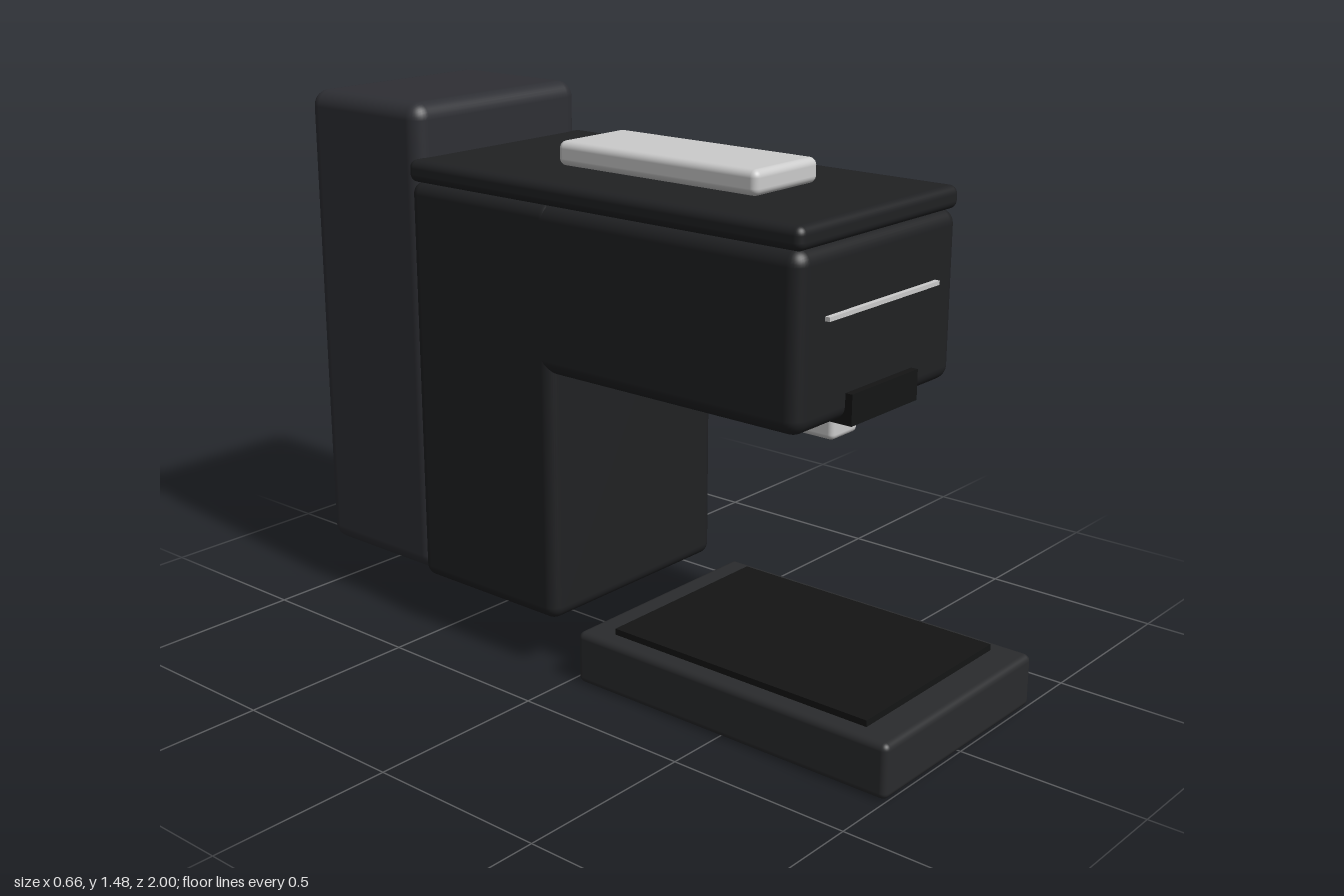
import * as THREE from 'three';
import { RoundedBoxGeometry } from 'three/addons/geometries/RoundedBoxGeometry.js';

const material = (color) => new THREE.MeshStandardMaterial({ color });

export function createModel() {
  const model = new THREE.Group();
  model.name = 'coffeeMachine';

  const black = material(0x202123);
  const charcoal = material(0x2e2f34);
  const trayGrey = material(0x2a2b2d);
  const dark = material(0x141515);
  const silver = material(0xc0c1c4);

  // Box centred on x, given by its half width and its y and z extents; radius 0 keeps sharp edges
  function box(name, mat, halfWidth, [y0, y1], [z0, z1], radius = 0) {
    const size = [halfWidth * 2, y1 - y0, z1 - z0];
    const geometry = radius
      ? new RoundedBoxGeometry(...size, 4, radius)
      : new THREE.BoxGeometry(...size);
    const mesh = new THREE.Mesh(geometry, mat);
    mesh.name = name;
    mesh.position.set(0, (y0 + y1) / 2, (z0 + z1) / 2);
    model.add(mesh);
  }

  // Body: upright column, overhanging brew head and lid
  box('column', black, 0.332, [0.145, 1.275], [-0.575, -0.06], 0.035);
  box('brewHead', black, 0.332, [0.83, 1.275], [-0.57, 0.72], 0.04);
  box('lid', black, 0.332, [1.272, 1.332], [-0.578, 0.72], 0.022);

  // Water tank behind the column
  box('waterTank', charcoal, 0.312, [0.145, 1.476], [-1, -0.555], 0.045);

  // Lever on the lid and trim line on the front
  box('lidHandle', silver, 0.128, [1.33, 1.396], [-0.222, 0.435], 0.02);
  box('frontTrim', silver, 0.232, [1.097, 1.108], [0.71, 0.734]);

  // Spout housing and nozzle under the head
  box('spoutHousing', dark, 0.14, [0.822, 0.902], [0.53, 0.74]);
  box('nozzle', silver, 0.055, [0.737, 0.835], [0.44, 0.627], 0.015);

  // Drip tray with its inset grate
  box('dripTray', trayGrey, 0.332, [0, 0.145], [0.02, 1], 0.018);
  box('dripGrate', dark, 0.28, [0.135, 0.162], [0.11, 0.907]);

  return model;
}
